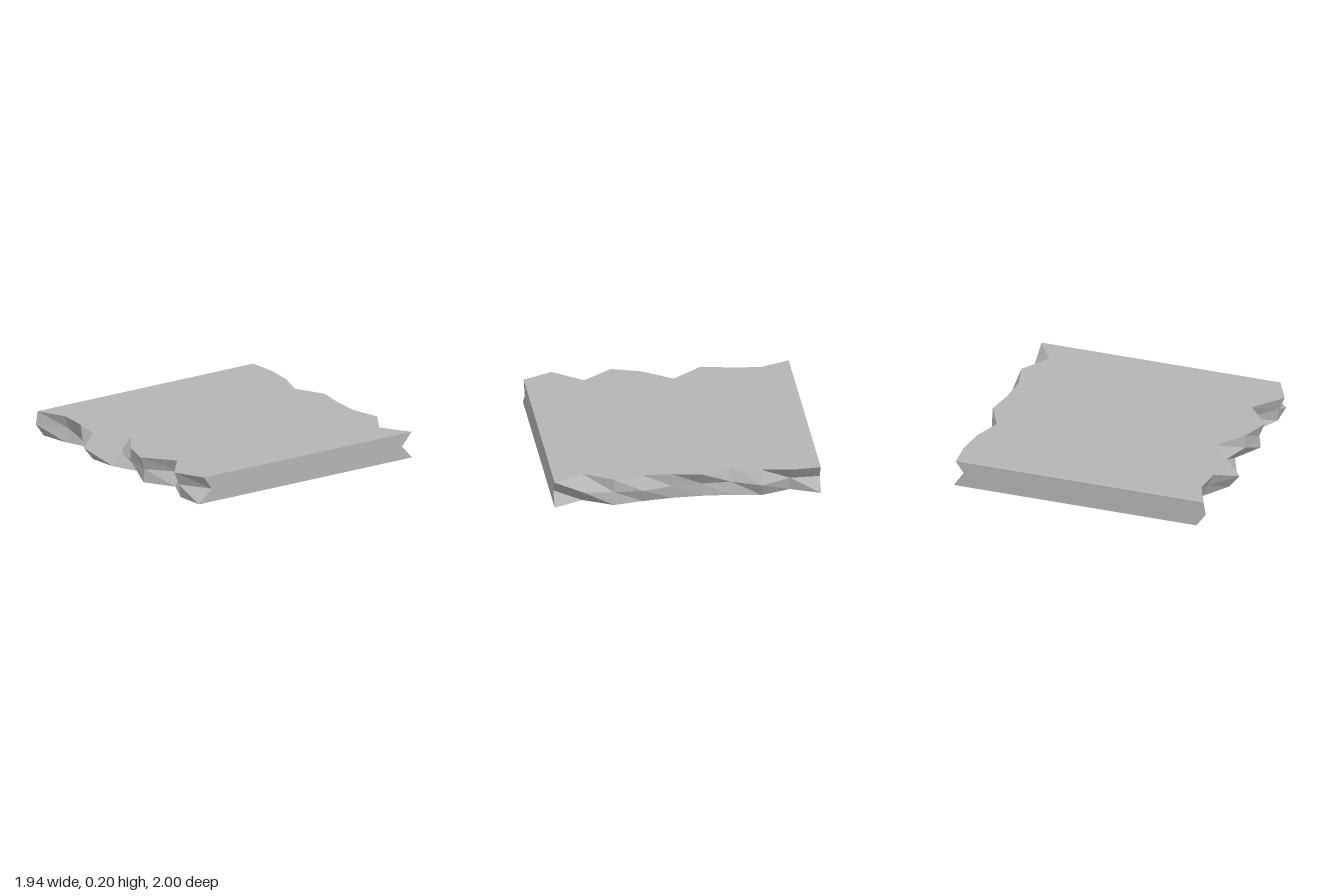
import * as THREE from 'three';

// Slab with two broken ends: z of each end across ten columns, rows bottom / middle / top
const FRONT = [
  [0.90, 0.86, 0.78, 0.92, 0.90, 0.81, 0.93, 0.80, 0.905, 0.895],
  [0.97, 0.83, 0.83, 1.00, 0.82, 0.89, 0.92, 0.73, 0.92, 0.78],
  [0.955, 0.86, 0.88, 0.92, 0.735, 0.89, 0.96, 0.785, 0.96, 0.85],
];
const BACK = [
  [0.965, 0.87, 0.95, 0.92, 0.91, 0.92, 0.95, 0.995, 0.88, 0.99],
  [0.88, 0.89, 1.00, 0.905, 0.91, 0.93, 0.99, 0.985, 0.97, 0.90],
  [0.95, 0.965, 0.94, 0.865, 0.975, 0.94, 0.93, 0.985, 0.85, 0.985],
];
const HALF_WIDTH = 0.972, HEIGHT = 0.196, COLS = 9, ROWS = 2;

function surface(name, material, quads) {
  // Separate corners per triangle keep every facet flat
  const points = quads.flatMap(([a, b, c, d]) => [a, b, d, b, c, d]);
  const geometry = new THREE.BufferGeometry().setFromPoints(points);
  geometry.computeVertexNormals();
  const mesh = new THREE.Mesh(geometry, material);
  mesh.name = name;
  return mesh;
}

export function createModel() {
  const stone = new THREE.MeshStandardMaterial({ color: 0xb4b4b4 });
  stone.name = 'grey stone';

  const point = (z, r, i) =>
    new THREE.Vector3(-HALF_WIDTH + (2 * HALF_WIDTH * i) / COLS, (HEIGHT * r) / ROWS, z);
  const f = (r, i) => point(FRONT[r][i], r, i);
  const b = (r, i) => point(-BACK[r][i], r, i);

  const front = [], back = [], top = [], bottom = [], sides = [];
  for (let i = 0; i < COLS; i++) {
    // Jagged broken ends
    for (let r = 0; r < ROWS; r++) {
      front.push([f(r, i), f(r, i + 1), f(r + 1, i + 1), f(r + 1, i)]);
      back.push([b(r, i + 1), b(r, i), b(r + 1, i), b(r + 1, i + 1)]);
    }
    // Flat faces
    top.push([f(ROWS, i), f(ROWS, i + 1), b(ROWS, i + 1), b(ROWS, i)]);
    bottom.push([b(0, i), b(0, i + 1), f(0, i + 1), f(0, i)]);
  }
  // Straight sides
  for (let r = 0; r < ROWS; r++) {
    sides.push([f(r, COLS), b(r, COLS), b(r + 1, COLS), f(r + 1, COLS)]);
    sides.push([b(r, 0), f(r, 0), f(r + 1, 0), b(r + 1, 0)]);
  }

  const group = new THREE.Group();
  group.name = 'brokenSlab';
  group.add(
    surface('frontBrokenEdge', stone, front),
    surface('backBrokenEdge', stone, back),
    surface('topFace', stone, top),
    surface('bottomFace', stone, bottom),
    surface('straightSides', stone, sides),
  );
  return group;
}
